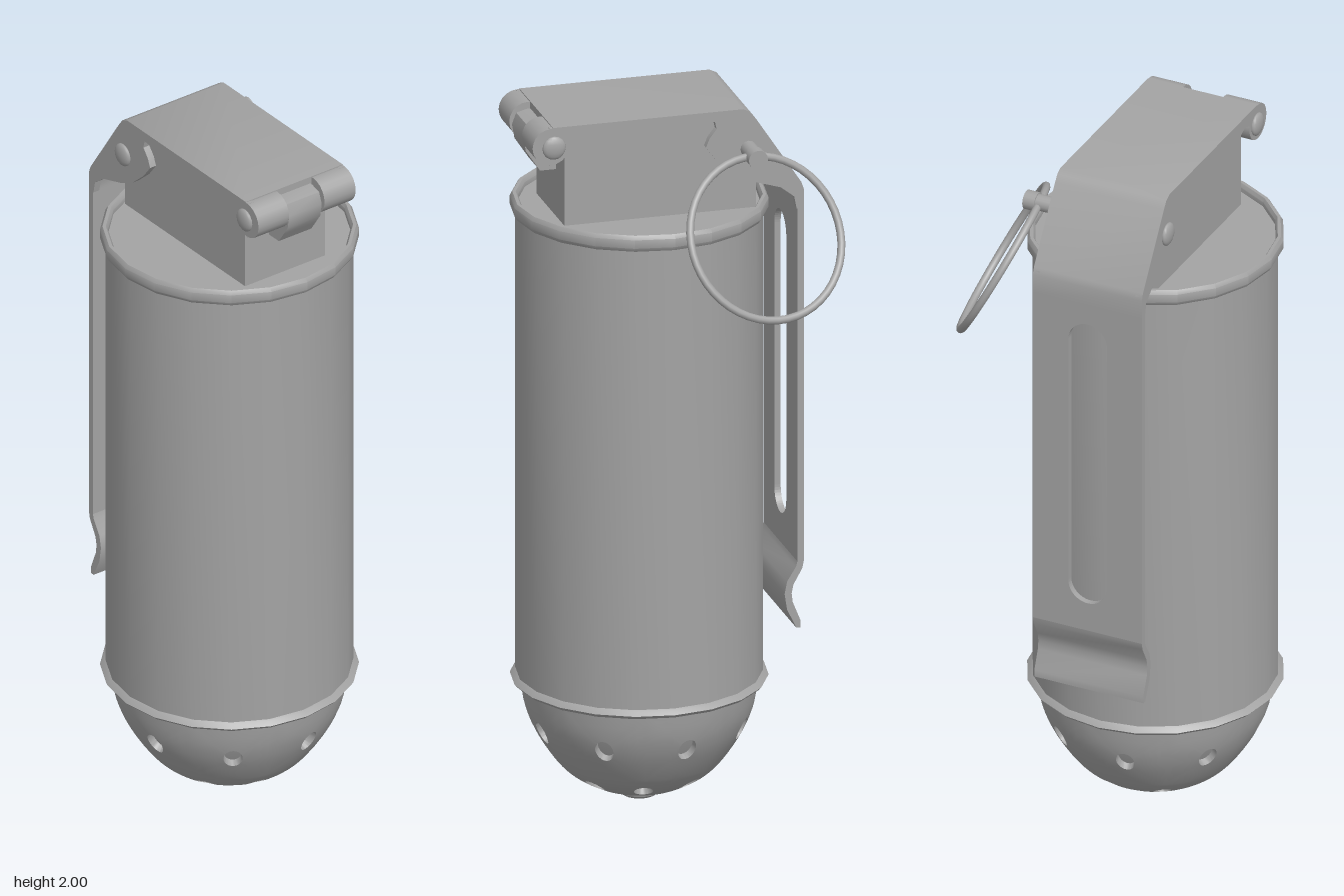
import * as THREE from 'three';
import { mergeVertices, toCreasedNormals } from 'three/addons/utils/BufferGeometryUtils.js';

const CX = -0.05, CZ = 0.07; // axis of the canister

export function createModel() {
  const model = new THREE.Group();
  model.name = 'canister';
  const steel = new THREE.MeshStandardMaterial({ color: 0xa3a3a3 });
  steel.name = 'grey steel';

  const add = (name, geo, x = 0, y = 0, z = 0) => {
    const mesh = new THREE.Mesh(geo, steel);
    mesh.name = name;
    mesh.position.set(x, y, z);
    model.add(mesh);
    return mesh;
  };
  const lathe = (pts, sides = 20) => toCreasedNormals(
    new THREE.LatheGeometry(pts.map(p => new THREE.Vector2(...p)), sides), 0.6);
  // Extrudes a side profile of [z, y] points from x0 to x1
  const sideExtrude = (pts, x0, x1) => {
    const geo = new THREE.ExtrudeGeometry(new THREE.Shape(pts.map(p => new THREE.Vector2(...p))),
      { depth: x1 - x0, bevelEnabled: false });
    geo.rotateY(-Math.PI / 2).translate(x1, 0, 0);
    return toCreasedNormals(geo, 0.6);
  };
  const rod = (name, r, x0, x1, y, z, sides = 20) => add(name,
    new THREE.CylinderGeometry(r, r, x1 - x0, sides).rotateZ(Math.PI / 2), (x0 + x1) / 2, y, z);

  // Body with rolled rims and a recessed lid
  add('body', lathe([
    [0.315, 0.335], [0.34, 0.338], [0.35, 0.348], [0.34, 0.358], [0.335, 0.362],
    [0.335, 1.68], [0.343, 1.682], [0.35, 1.693], [0.35, 1.717], [0.343, 1.728],
    [0.334, 1.728], [0.328, 1.718], [0.328, 1.705], [0, 1.705]]), CX, 0, CZ);

  // Perforated dome: a cell around each hole is lofted onto the dome curve
  const curve = new THREE.SplineCurve([
    [0.322, 0.338], [0.308, 0.26], [0.272, 0.18], [0.21, 0.095], [0.135, 0.045], [0.055, 0.018],
  ].map(p => new THREE.Vector2(...p)));
  const domePoint = (angle, t, depth = 0) => {
    const p = curve.getPoint(t), tan = curve.getTangent(t);
    const r = p.x + tan.y * depth, y = p.y - tan.x * depth;
    return [r * Math.sin(angle), y, r * Math.cos(angle)];
  };
  const skin = [], pits = [];
  const quad = (out, a, b, c, d) => out.push(...a, ...b, ...c, ...a, ...c, ...d);
  const SIDE = 8, N = SIDE * 4, RINGS = 4, HALF = Math.PI / 8;
  const square = i => { // point on the edge of a unit square
    const s = Math.floor(i / SIDE) % 4, f = (i % SIDE) / SIDE * 2 - 1;
    return [[f, -1], [1, f], [-f, 1], [-1, -f]][s];
  };
  const rows = [ // start angle, t range, hole centre t, hole size in t
    { offset: 10, t0: 0, t1: 0.53, tc: 0.295, ht: 0.08, w: 0.026 },
    { offset: 32.5, t0: 0.53, t1: 1, tc: 0.685, ht: 0.075, w: 0.026 }];
  for (const { offset, t0, t1, tc, ht, w } of rows) for (let k = 0; k < 8; k++) {
    const mid = (offset + 45 * k) * Math.PI / 180;
    const ha = w / curve.getPoint(tc).x;
    const at = (i, f, depth) => { // f: 0 at the cell edge, 1 at the hole edge
      const [u, v] = square(i), l = Math.hypot(u, v);
      const a = THREE.MathUtils.lerp(u * HALF, u / l * ha, f);
      const t = THREE.MathUtils.lerp(v < 0 ? tc + v * (tc - t0) : tc + v * (t1 - tc), tc + v / l * ht, f);
      return domePoint(mid + a, t, depth);
    };
    for (let i = 0; i < N; i++) {
      for (let j = 0; j < RINGS; j++) {
        const f = j / RINGS, g = (j + 1) / RINGS;
        quad(skin, at(i, f), at(i, g), at(i + 1, g), at(i + 1, f));
      }
      quad(pits, at(i, 1), at(i, 1, 0.02), at(i + 1, 1, 0.02), at(i + 1, 1));
      pits.push(...at(i, 1, 0.02), ...domePoint(mid, tc, 0.02), ...at(i + 1, 1, 0.02));
    }
  }
  const soup = positions => {
    const geo = new THREE.BufferGeometry();
    geo.setAttribute('position', new THREE.Float32BufferAttribute(positions, 3));
    const flipped = geo.getAttribute('position').array;
    for (let i = 0; i < flipped.length; i += 9) { // keep faces turned outward
      for (let c = 0; c < 3; c++) [flipped[i + 3 + c], flipped[i + 6 + c]] = [flipped[i + 6 + c], flipped[i + 3 + c]];
    }
    return geo;
  };
  const skinGeo = mergeVertices(soup(skin), 1e-4);
  skinGeo.computeVertexNormals();
  const pitGeo = toCreasedNormals(soup(pits), 0.6);
  // Orient both by the direction of the skin normals
  const n = skinGeo.getAttribute('normal'), p = skinGeo.getAttribute('position');
  let facing = 0;
  for (let i = 0; i < n.count; i++) facing += n.getX(i) * p.getX(i) + n.getZ(i) * p.getZ(i);
  if (facing < 0) {
    const idx = skinGeo.index.array;
    for (let i = 0; i < idx.length; i += 3) [idx[i + 1], idx[i + 2]] = [idx[i + 2], idx[i + 1]];
    skinGeo.computeVertexNormals();
  }
  add('dome', skinGeo, CX, 0, CZ);
  const pitOut = facing < 0 ? toCreasedNormals(soup(Array.from(pitGeo.getAttribute('position').array)), 0.6) : pitGeo;
  add('domeHoles', pitOut, CX, 0, CZ);
  add('domePlug', lathe([[0, 0], [0.045, 0.003], [0.058, 0.012], [0.062, 0.024]]), CX, 0, CZ);

  // Head block on the lid
  add('headBlock', sideExtrude([
    [0.32, 1.7], [0.32, 1.975], [-0.17, 1.975], [-0.2, 1.94], [-0.22, 1.9], [-0.22, 1.7]], -0.185, 0.085));
  add('headLug', sideExtrude([
    [0.31, 1.84], [0.365, 1.84], [0.385, 1.87], [0.405, 1.9], [0.412, 1.94], [0.4, 1.972], [0.37, 1.98], [0.31, 1.98]],
  -0.105, 0.005));

  // Lever: top plate and slope, slotted back strap, curled toe
  const L = -0.213, R = 0.115;
  add('leverTop', sideExtrude([
    [0.36, 2], [-0.175, 2], [-0.195, 1.99], [-0.21, 1.97], [-0.338, 1.775], [-0.345, 1.755], [-0.345, 1.7],
    [-0.327, 1.7], [-0.327, 1.75], [-0.195, 1.96], [-0.175, 1.975], [0.36, 1.975]], L, R));
  const strap = new THREE.Shape();
  strap.moveTo(L, 0.685).lineTo(R, 0.685).lineTo(R, 1.7).lineTo(L, 1.7).closePath();
  const slot = new THREE.Path(), sr = 0.058;
  slot.absarc(CX, 1.64 - sr, sr, 0, Math.PI, false);
  slot.absarc(CX, 0.77 + sr, sr, Math.PI, Math.PI * 2, false);
  strap.holes.push(slot);
  add('leverStrap', new THREE.ExtrudeGeometry(strap, { depth: 0.018, bevelEnabled: false }), 0, 0, -0.345);
  add('leverToe', sideExtrude([
    [-0.345, 0.685], [-0.341, 0.665], [-0.316, 0.62], [-0.311, 0.595], [-0.314, 0.57], [-0.336, 0.515], [-0.336, 0.495],
    [-0.324, 0.495], [-0.298, 0.55], [-0.291, 0.595], [-0.298, 0.63], [-0.323, 0.67], [-0.327, 0.685]], L, R));

  // Lever side cheeks
  const cheek = [
    [0.37, 1.998], [-0.175, 1.998], [-0.21, 1.968], [-0.342, 1.765], [-0.343, 1.7], [-0.325, 1.7], [-0.318, 1.735],
    [-0.28, 1.765], [-0.2, 1.79], [-0.15, 1.815], [-0.1, 1.86], [-0.07, 1.9], [-0.08, 1.925], [-0.1, 1.95],
    [-0.095, 1.972], [-0.07, 1.97], [-0.03, 1.945], [0.24, 1.948], [0.29, 1.968], [0.32, 1.955],
    [0.332, 1.91], [0.37, 1.893]];
  add('leftCheek', sideExtrude(cheek, R - 0.02, R));
  add('rightCheek', sideExtrude(cheek, L, L + 0.02));

  // Hinge curls, pin and rivets
  rod('rightHinge', 0.052, L, -0.11, 1.946, 0.366);
  rod('leftHinge', 0.052, 0.01, R, 1.946, 0.366);
  rod('hingePin', 0.03, L, R, 1.943, 0.36);
  const rivet = (name, x, y, z, side) => {
    const geo = new THREE.SphereGeometry(0.033, 16, 8).scale(0.38, 1, 1);
    add(name, geo, x + side * 0.002, y, z);
  };
  rivet('leftHingeRivet', R, 1.943, 0.358, 1);
  rivet('rightHingeRivet', L, 1.943, 0.358, -1);
  rivet('pinRivet', L, 1.885, -0.19, -1);

  // Safety pin and pull ring
  rod('safetyPin', 0.023, L, 0.175, 1.885, -0.19, 16);
  rod('safetyPinEnd', 0.027, 0.175, 0.21, 1.885, -0.19, 16);
  const ring = add('pullRing', new THREE.TorusGeometry(0.226, 0.011, 10, 48));
  const u = new THREE.Vector3(0.04, 0.02, 0.225).normalize();
  const v = new THREE.Vector3(0.11, -0.2, 0);
  v.addScaledVector(u, -v.dot(u)).normalize();
  ring.quaternion.setFromRotationMatrix(new THREE.Matrix4().makeBasis(u, v, u.clone().cross(v)));
  ring.position.set(0.28, 1.685, -0.19);

  return model;
}
